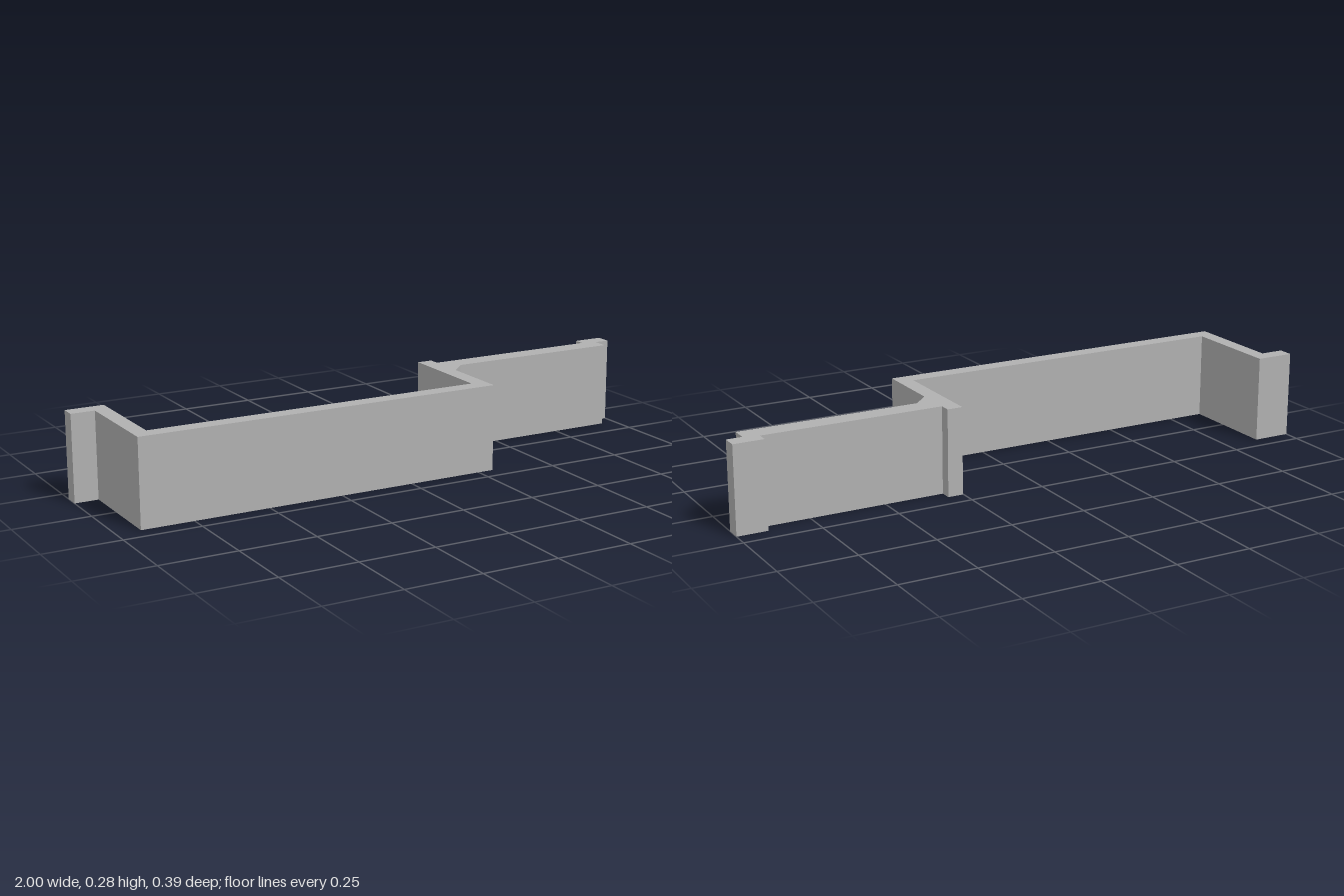
import * as THREE from 'three';

const HEIGHT = 0.284;

// Plan outline of the bracket as [x, z]
const OUTLINE = [
  // left hook and channel, outer side
  [-1, -0.194], [-1, -0.143], [-0.922, -0.143], [-0.922, 0.194], [0.303, 0.194],
  // chamfered inside corner and front of the arm
  [0.303, -0.038], [0.355, -0.09], [0.949, -0.09],
  // stepped end lip
  [0.949, -0.143], [1, -0.143], [1, -0.194], [0.9, -0.194], [0.9, -0.157],
  // back of the arm and rear rib
  [0.303, -0.157], [0.303, -0.194], [0.252, -0.194],
  // channel, inner side
  [0.252, 0.141], [-0.873, 0.141], [-0.873, -0.194],
];

export function createModel() {
  const group = new THREE.Group();
  group.name = 'bracket';

  const grey = new THREE.MeshStandardMaterial({ color: 0xb0b0b0 });
  grey.name = 'grey';

  // Draw the plan with z flipped, extrude, then stand it upright
  const shape = new THREE.Shape(OUTLINE.map(([x, z]) => new THREE.Vector2(x, -z)));
  const geometry = new THREE.ExtrudeGeometry(shape, { depth: HEIGHT, bevelEnabled: false });
  geometry.rotateX(-Math.PI / 2);

  const profile = new THREE.Mesh(geometry, grey);
  profile.name = 'bracketProfile';
  group.add(profile);
  return group;
}
